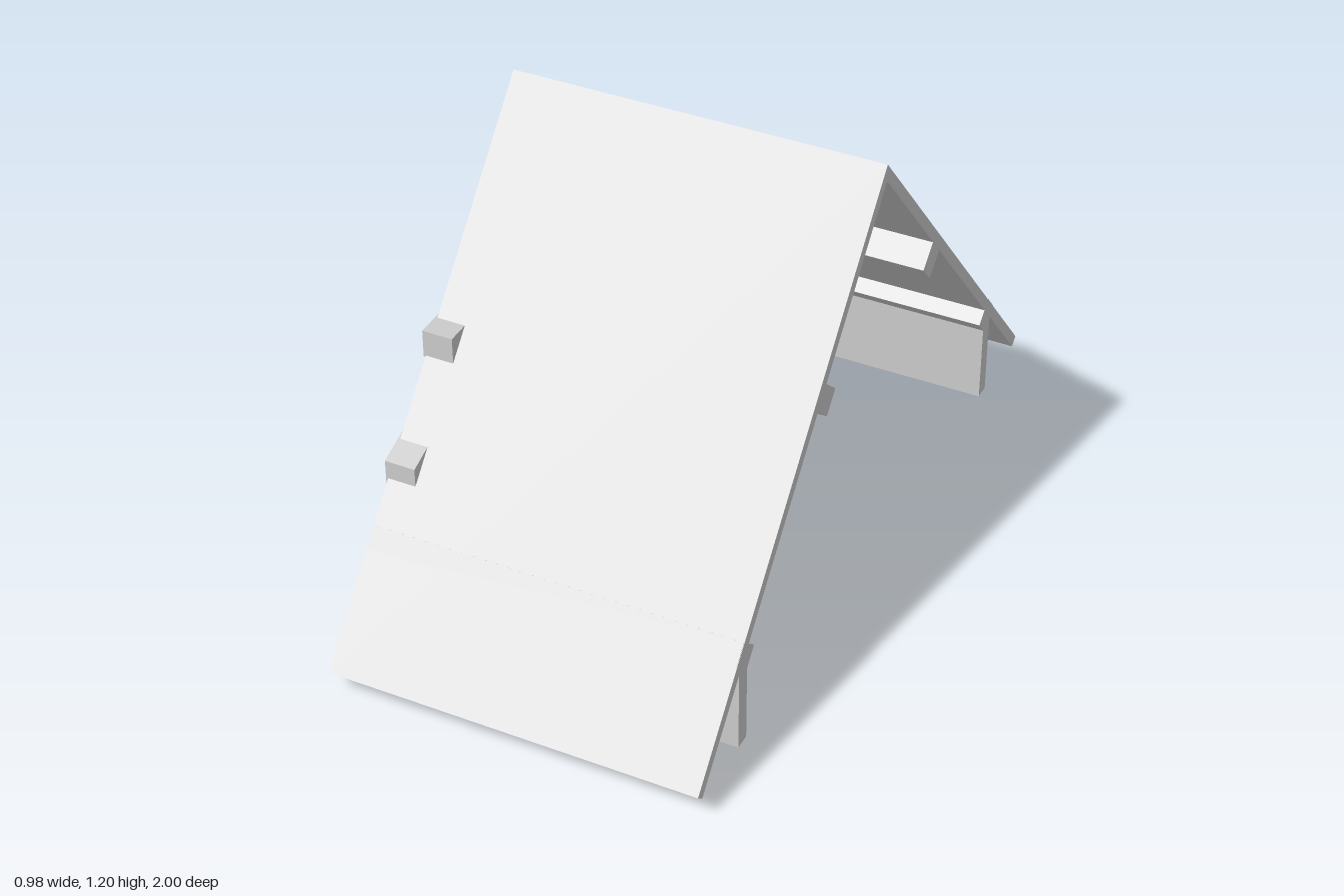
import * as THREE from 'three';

const X0 = -0.487, X1 = 0.49;        // roof ends
const RX = -0.42;                    // inner face of the truss rafters
const APEX = 1.2, EAVE = 0.07;       // outer roof line runs from (z 0, y 1.2) to (z 1, y 0.07)
const LEN = Math.hypot(1, APEX - EAVE);
const DIR = [1 / LEN, -(APEX - EAVE) / LEN];   // down the slope, as [z, y]
const INW = [DIR[1], -DIR[0]];                 // into the roof, as [z, y]

export function createModel() {
  const group = new THREE.Group();
  const material = new THREE.MeshStandardMaterial({ color: 0xcccccc, flatShading: true });

  // Extrudes a [z, y] outline along x
  function prism(name, points, xa, xb) {
    const shape = new THREE.Shape(points.map(([z, y]) => new THREE.Vector2(z, y)));
    const geometry = new THREE.ExtrudeGeometry(shape, { depth: xb - xa, bevelEnabled: false });
    geometry.rotateY(-Math.PI / 2);
    geometry.translate(xb, 0, 0);
    const mesh = new THREE.Mesh(geometry, material);
    mesh.name = name;
    group.add(mesh);
  }

  const rect = (z0, z1, y0, y1) => [[z0, y0], [z1, y0], [z1, y1], [z0, y1]];
  const mirror = (half) => [...half, ...half.map(([z, y]) => [-z, y]).reverse()];

  // Point at distance s down the slope and depth t below the roof surface
  const onSlope = (s, t) => [DIR[0] * s + INW[0] * t, APEX + DIR[1] * s + INW[1] * t];

  // One sloping layer between depths a and b, mitred at the ridge
  const slopeLayer = (a, b) => [
    [0, APEX - a / DIR[0]], onSlope(LEN, a), onSlope(LEN, b), [0, APEX - b / DIR[0]],
  ];
  const slopeBox = (s0, s1, t0, t1) => [
    onSlope(s0, t0), onSlope(s1, t0), onSlope(s1, t1), onSlope(s0, t1),
  ];

  for (const side of [1, -1]) {
    const label = side > 0 ? 'front' : 'back';
    const flip = (points) => points.map(([z, y]) => [side * z, y]);

    // Roof slab, rafter under it, and purlin
    prism(label + 'RoofPanel', flip(slopeLayer(0, 0.03)), X0, X1);
    prism(label + 'Rafter', flip(slopeLayer(0.03, 0.108)), X0, RX);
    prism(label + 'Purlin', flip(slopeBox(0.522, 0.59, 0.029, 0.105)), X0 + 0.002, X1 - 0.001);

    // Tilted wall plate on top of the low side wall
    prism(label + 'WallPlate', flip(slopeBox(1.142, 1.202, -0.002, 0.073)), X0 + 0.001, X1 - 0.001);
    prism(label + 'SideWall', flip(rect(0.737, 0.78, 0.04, 0.29)), X0 + 0.002, X1 - 0.002);
  }

  // End truss: hanging post, collar beam and arched tie beam
  prism('kingPost', rect(-0.024, 0.024, 0.51, 1.1), X0 + 0.002, RX - 0.002);
  prism('collarBeam', rect(-0.477, 0.477, 0.657, 0.732), -0.493, -0.412);
  const archTop = [[0.16, 0.607], [0.438, 0.568], [0.68, 0.482]];
  const archBottom = [[0.68, 0.403], [0.438, 0.488], [0.16, 0.535]];
  prism('archedTieBeam', mirror([...archTop, ...archBottom].slice(0, 3))
    .concat(mirror([...archBottom].reverse()).reverse()), -0.493, -0.412);

  // The arch outline is replaced by a clean loop: top right to left, bottom left to right
  const arch = group.children.pop();
  arch.parent = null;
  arch.geometry.dispose();
  const left = (points) => points.map(([z, y]) => [-z, y]).reverse();
  prism('archedTieBeam', [...archTop, ...archBottom, ...left(archBottom), ...left(archTop)], -0.493, -0.412);

  return group;
}
